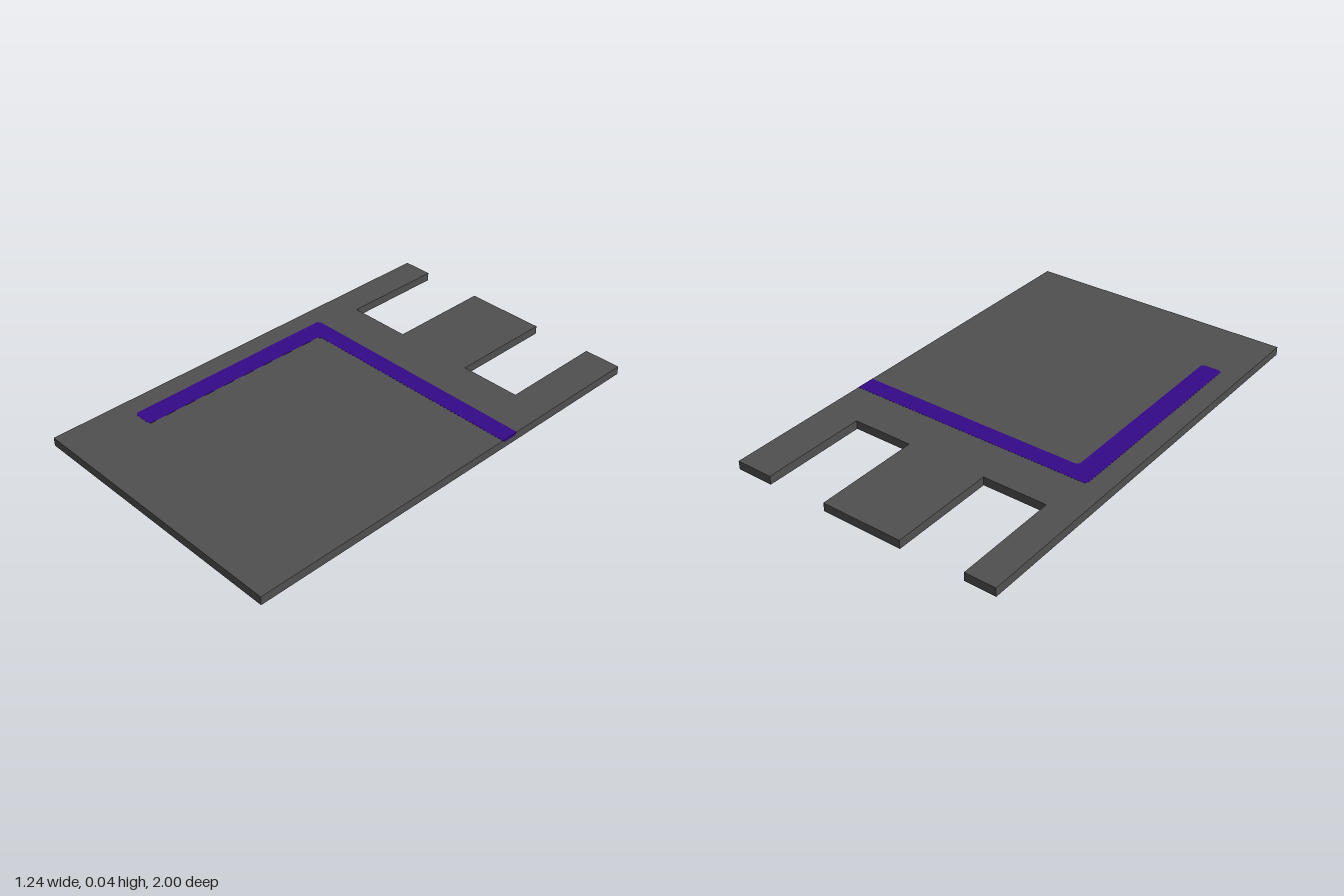
import * as THREE from 'three';

const THICK = 0.038, HALF = 0.618, SKIN = 0.0006;

// Extrudes an outline of [x, z] points upwards from height y
function slab(name, points, y, height, material) {
  const shape = new THREE.Shape(points.map(([x, z]) => new THREE.Vector2(x, -z)));
  const geometry = new THREE.ExtrudeGeometry(shape, { depth: height, bevelEnabled: false });
  geometry.rotateX(-Math.PI / 2).translate(0, y, 0);
  const mesh = new THREE.Mesh(geometry, material);
  mesh.name = name;
  return mesh;
}

export function createModel() {
  const grey = new THREE.MeshStandardMaterial({ color: 0x505050 });
  grey.name = 'dark grey';
  const purple = new THREE.MeshStandardMaterial({ color: 0x350a88 });
  purple.name = 'deep purple';

  const model = new THREE.Group();
  model.name = 'notchedPlate';

  // Flat plate with two open slots at the back
  const slot = -0.527;
  model.add(slab('plate', [
    [-HALF, 1], [HALF, 1], [HALF, -1], [0.45, -1], [0.45, slot], [0.174, slot],
    [0.174, -1], [-0.192, -1], [-0.192, slot], [-0.481, slot], [-0.481, -1], [-HALF, -1],
  ], 0, THICK, grey));

  // L-shaped inlay with clipped corners, running out at the left edge
  const c = 0.012, x0 = -0.526, x1 = -0.431, z0 = -0.335, z1 = -0.251, z2 = 0.675;
  model.add(slab('inlayTop', [
    [x0 + c, z2], [x1 - c, z2], [x1, z2 - c], [x1, z1 + c], [x1 + c, z1],
    [HALF, z1], [HALF, z0], [x0 + c, z0], [x0, z0 + c], [x0, z2 - c],
  ], THICK, SKIN, purple));

  // Visible end of the inlay on the plate's edge, tapering downwards
  const end = new THREE.Shape([
    new THREE.Vector2(-z1, THICK), new THREE.Vector2(-z0, THICK),
    new THREE.Vector2(-z0 - c, THICK - 0.011), new THREE.Vector2(-z1 + c, THICK - 0.011),
  ]);
  const endGeometry = new THREE.ExtrudeGeometry(end, { depth: SKIN, bevelEnabled: false });
  endGeometry.rotateY(Math.PI / 2).translate(HALF, 0, 0);
  const inlayEnd = new THREE.Mesh(endGeometry, purple);
  inlayEnd.name = 'inlayEnd';
  model.add(inlayEnd);

  return model;
}
